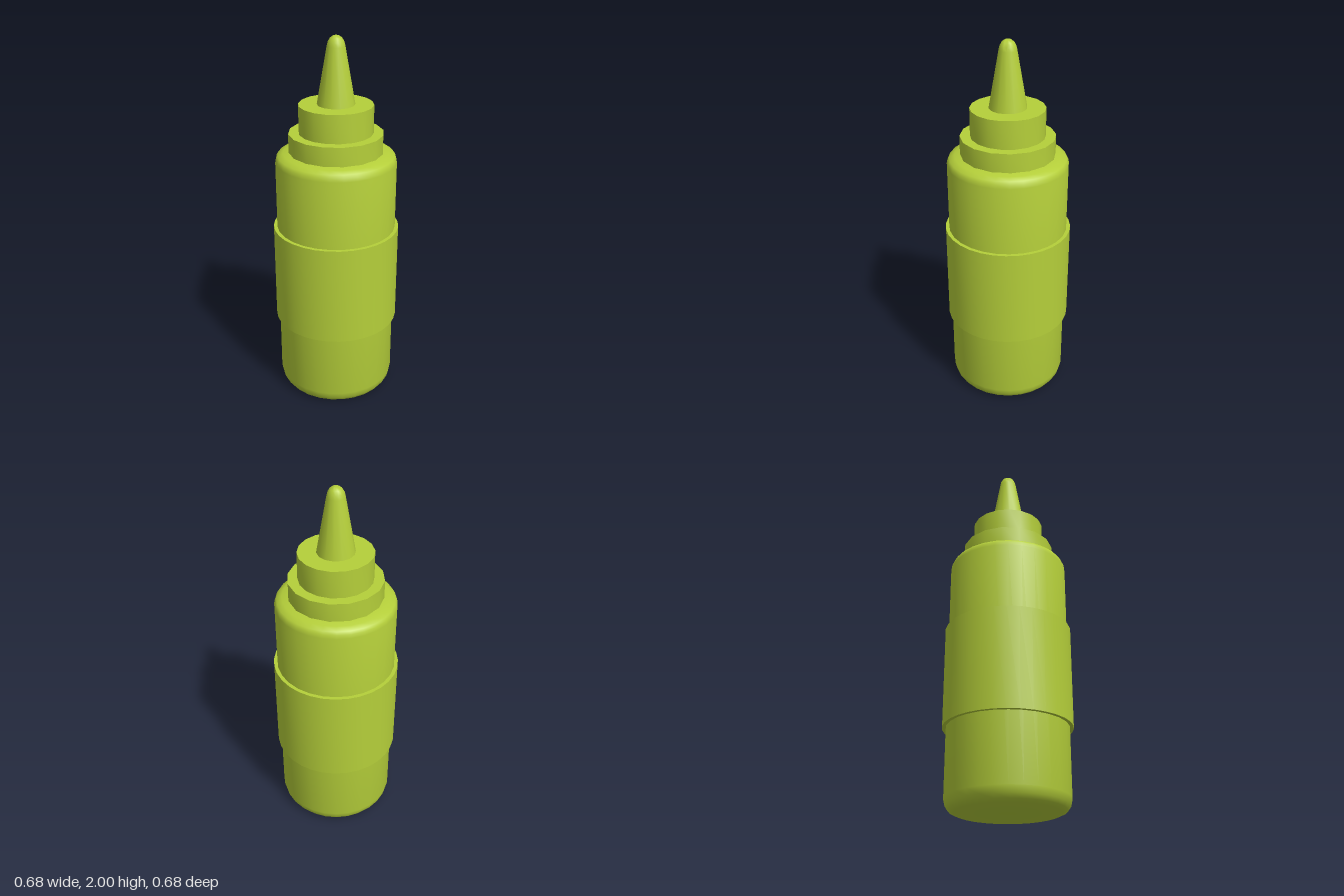
import * as THREE from 'three';
import { toCreasedNormals } from 'three/addons/utils/BufferGeometryUtils.js';

export function createModel() {
  const bottle = new THREE.Group();
  bottle.name = 'squeezeBottle';
  const plastic = new THREE.MeshStandardMaterial({ color: 0xb5cf3a });
  plastic.name = 'lime green plastic';

  // Turned part: [radius, height] pairs listed from bottom to top
  function turned(name, profile, sides, crease = 0.6, turn = 0) {
    const points = profile.map(([r, y]) => new THREE.Vector2(r, y));
    const lathe = new THREE.LatheGeometry(points, sides);
    const mesh = new THREE.Mesh(toCreasedNormals(lathe, crease), plastic);
    mesh.name = name;
    mesh.rotation.y = turn;
    bottle.add(mesh);
  }

  // Body with a rounded foot and a soft shoulder
  turned('body', [
    [0, 0], [0.27, 0], [0.297, 0.012], [0.313, 0.035], [0.321, 0.07],
    [0.321, 1.345], [0.317, 1.365], [0.308, 1.38], [0.28, 1.393], [0.24, 1.4],
  ], 28, 0.75);

  // Grip band around the middle
  turned('gripBand', [
    [0.31, 0.43], [0.34, 0.43], [0.34, 0.975], [0.31, 0.975],
  ], 32);

  // Stepped cap
  turned('neck', [[0.25, 1.39], [0.25, 1.5], [0, 1.5]], 16, 0.6, 0.08);
  turned('collar', [[0.196, 1.49], [0.196, 1.65], [0, 1.65]], 18, 0.6, 0.08);

  // Tapered nozzle with a rounded tip
  turned('nozzle', [
    [0.1, 1.645], [0.047, 1.945], [0.042, 1.967], [0.031, 1.986],
    [0.016, 1.997], [0, 2],
  ], 14, 0.8, 0.1);

  return bottle;
}
